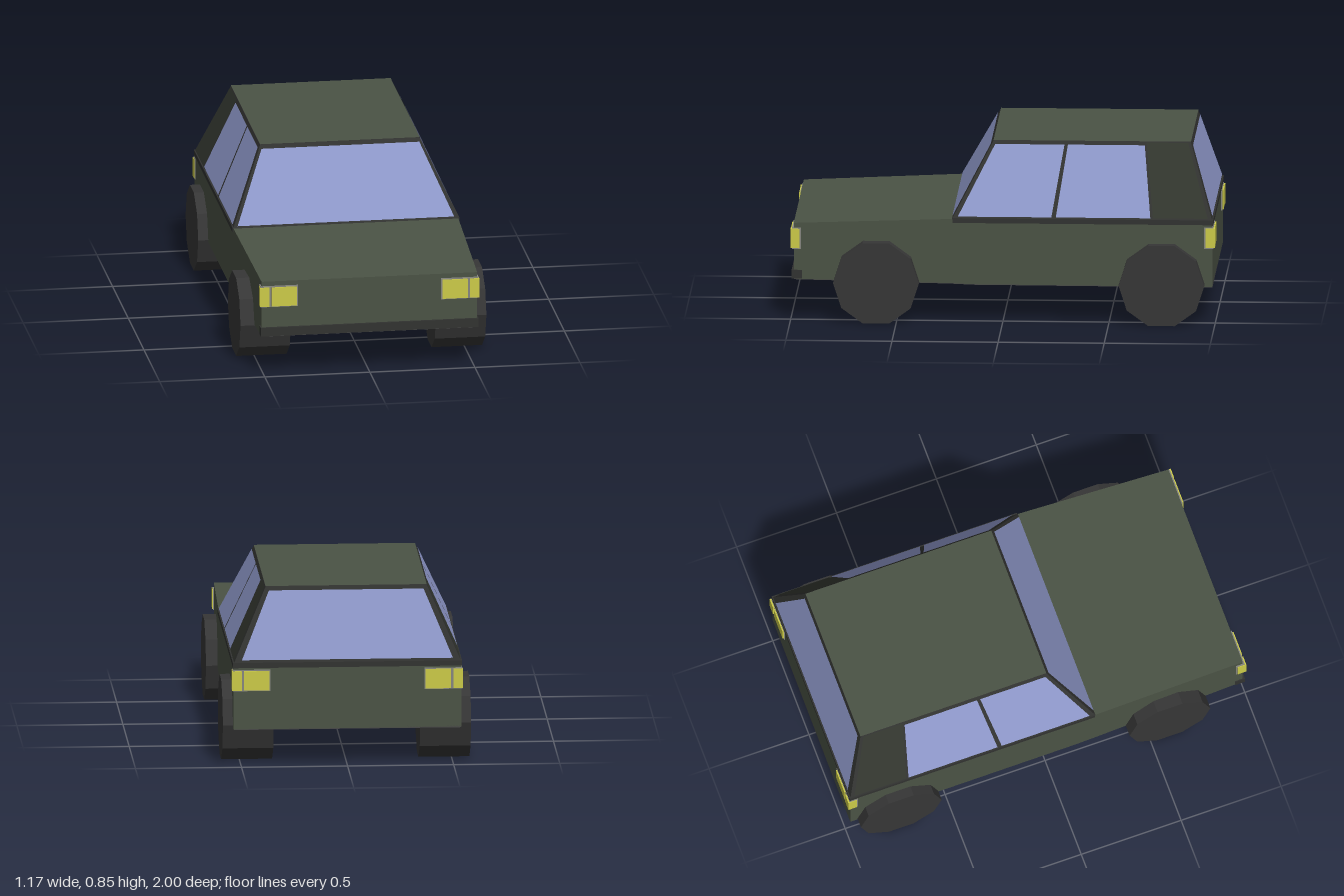
import * as THREE from 'three';

const mat = (color) => new THREE.MeshStandardMaterial({ color, flatShading: true, side: THREE.DoubleSide });
const paint = mat(0x4b5345), darkPaint = mat(0x33372f), trim = mat(0x323331), glass = mat(0x8f99cb);
const lens = mat(0xcccb48), bezel = mat(0x85857f), rubber = mat(0x363636), under = mat(0x484848);

function add(parent, name, geometry, material) {
  const mesh = new THREE.Mesh(geometry, material);
  mesh.name = name;
  parent.add(mesh);
  return mesh;
}

// Box given by its extents on each axis
function block(parent, name, [x0, x1], [y0, y1], [z0, z1], material) {
  const mesh = add(parent, name, new THREE.BoxGeometry(Math.abs(x1 - x0), y1 - y0, Math.abs(z1 - z0)), material);
  mesh.position.set((x0 + x1) / 2, (y0 + y1) / 2, (z0 + z1) / 2);
  return mesh;
}

// Separate quads, corners counter-clockwise from outside
function quads(list) {
  const pos = [];
  for (const [a, b, c, d] of list) for (const p of [a, b, c, a, c, d]) pos.push(...p);
  const g = new THREE.BufferGeometry();
  g.setAttribute('position', new THREE.Float32BufferAttribute(pos, 3));
  g.computeVertexNormals();
  return g;
}

// Closed loft through rectangular sections [z, halfWidth, bottom, top], front to back
function loft(sections) {
  const rings = sections.map(([z, w, b, t]) => [[-w, b, z], [w, b, z], [w, t, z], [-w, t, z]]);
  const list = [rings[0], [...rings[rings.length - 1]].reverse()];
  for (let i = 0; i + 1 < rings.length; i++)
    for (let k = 0; k < 4; k++) {
      const n = (k + 1) % 4;
      list.push([rings[i][k], rings[i + 1][k], rings[i + 1][n], rings[i][n]]);
    }
  return quads(list);
}

// Panel laid just proud of a face; uv corners run bl, br, tr, tl
function panel(face, uvs, offset = 0.004) {
  const [bl, br, tr, tl] = face.map((p) => new THREE.Vector3(...p));
  const n = br.clone().sub(bl).cross(tl.clone().sub(bl)).normalize();
  return quads([uvs.map(([u, v]) => bl.clone().lerp(br, u)
    .lerp(tl.clone().lerp(tr, u), v).addScaledVector(n, offset).toArray())]);
}

export function createModel() {
  const car = new THREE.Group();
  car.name = 'car';

  // Lower body and floor
  const sections = [
    [0.985, 0.513, 0.197, 0.465],
    [0.24, 0.535, 0.187, 0.495],
    [0.14, 0.536, 0.183, 0.495],
    [-0.988, 0.538, 0.18, 0.493],
  ];
  add(car, 'body', loft(sections), paint);
  add(car, 'floor', loft(sections.map(([z, w, b]) => [z, w - 0.002, b - 0.003, b + 0.01])), under);

  // Cabin shell, tapering to the roof
  const base = { w: 0.537, y: 0.493, f: 0.24, r: -0.988 };
  const top = { w: 0.38, y: 0.842, f: 0.05, r: -0.88 };
  const P = (s, l, end) => [s * l.w, l.y, l[end]];
  const faces = {
    front: [P(-1, base, 'f'), P(1, base, 'f'), P(1, top, 'f'), P(-1, top, 'f')],
    rear: [P(1, base, 'r'), P(-1, base, 'r'), P(-1, top, 'r'), P(1, top, 'r')],
    right: [P(-1, base, 'r'), P(-1, base, 'f'), P(-1, top, 'f'), P(-1, top, 'r')],
    left: [P(1, base, 'f'), P(1, base, 'r'), P(1, top, 'r'), P(1, top, 'f')],
    roof: [P(-1, top, 'f'), P(1, top, 'f'), P(1, top, 'r'), P(-1, top, 'r')],
  };
  const cabin = new THREE.Group();
  cabin.name = 'cabin';
  car.add(cabin);
  add(cabin, 'windowFrames', quads(Object.values(faces)), trim);
  add(cabin, 'roofPanel', panel(faces.roof, [[0, 0], [1, 0], [1, 1], [0, 1]], 0.003), paint);
  add(cabin, 'windscreen', panel(faces.front, [[0.016, 0.03], [0.984, 0.03], [0.984, 0.95], [0.016, 0.95]]), glass);
  add(cabin, 'rearWindow', panel(faces.rear, [[0.03, 0.05], [0.97, 0.05], [0.97, 0.95], [0.03, 0.95]]), glass);

  // Side windows and rear pillars, u measured from the front
  const sideParts = [
    ['frontSideWindow', [[0.018, 0.035], [0.38, 0.035], [0.364, 0.955], [0.018, 0.955]], glass],
    ['rearSideWindow', [[0.397, 0.035], [0.763, 0.035], [0.765, 0.955], [0.381, 0.955]], glass],
    ['rearPillar', [[0.773, 0.035], [0.985, 0.035], [0.985, 0.99], [0.775, 0.99]], darkPaint],
  ];
  for (const [name, uvs, material] of sideParts) {
    add(cabin, name, panel(faces.left, uvs), material);
    add(cabin, name, panel(faces.right, uvs.map(([u, v]) => [1 - u, v]).reverse()), material);
  }

  // Belt moulding around the base of the cabin
  for (const s of [-1, 1]) block(car, 'beltMoulding', [s * 0.53, s * 0.54], [0.477, 0.5], [0.235, -0.99], trim);
  block(car, 'rearMoulding', [-0.54, 0.54], [0.475, 0.5], [-0.98, -0.992], trim);

  // Front bumper
  block(car, 'frontBumper', [-0.518, 0.518], [0.198, 0.24], [0.945, 0.995], trim);

  // Lamps: bezel, main lens and a lens wrapping the corner
  for (const s of [-1, 1]) {
    for (const [name, dir, x, y] of [['headlamp', 1, 0, 0.345], ['tailLamp', -1, 0.022, 0.368]]) {
      const lamp = new THREE.Group();
      lamp.name = name;
      car.add(lamp);
      const span = (a, b) => [s * (a + x), s * (b + x)];
      block(lamp, 'bezel', span(0.34, 0.519), [y - 0.004, y + 0.098], [dir * 0.95, dir * 0.993], bezel);
      block(lamp, 'mainLens', span(0.346, 0.466), [y, y + 0.093], [dir * 0.98, dir * 0.999], lens);
      block(lamp, 'cornerLens', span(0.477, 0.522), [y, y + 0.093], [dir * 0.957, dir], lens);
    }
  }

  // Ten-sided wheels resting on a flat
  const wheel = new THREE.CylinderGeometry(0.202, 0.202, 0.24, 10);
  wheel.rotateY(Math.PI / 10).rotateZ(Math.PI / 2);
  wheel.computeBoundingBox();
  if (wheel.boundingBox.max.y > 0.2) wheel.rotateX(Math.PI / 10);
  for (const s of [-1, 1])
    for (const [name, z] of [['frontWheel', 0.595], ['rearWheel', -0.75]])
      add(car, name, wheel, rubber).position.set(s * 0.465, 0.192, z);

  return car;
}
